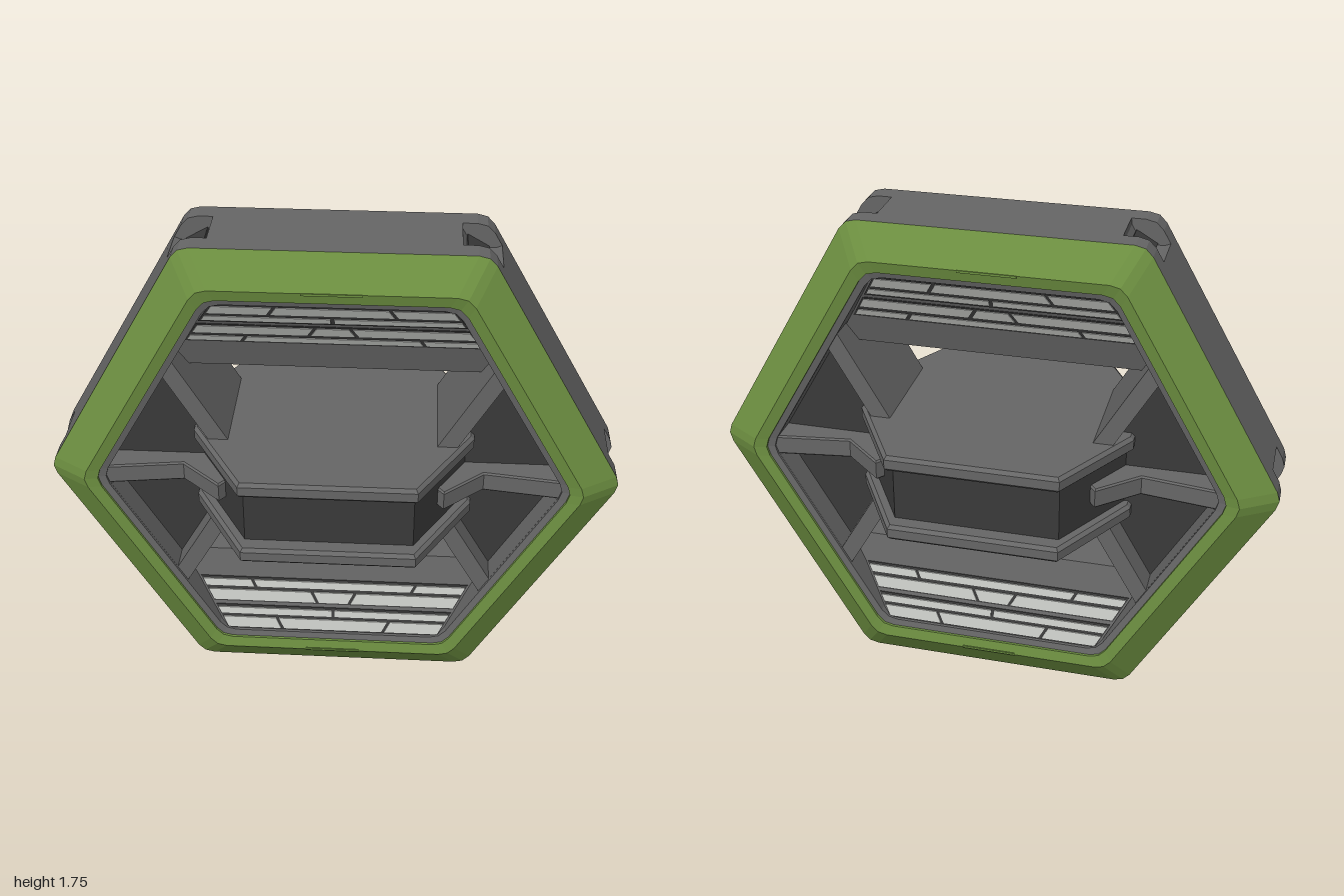
import * as THREE from 'three';

const mat = (name, color, side = THREE.FrontSide) => {
  const m = new THREE.MeshStandardMaterial({ color, side });
  m.name = name;
  return m;
};
const CY = 0.875; // height of the hexagon centre

// Hexagon corner points by apothem; corners are rounded, or notched for the sockets
function hexPoints(apothem, notched = false) {
  const R = apothem * 2 / Math.sqrt(3), pts = [];
  const at = (a, r) => new THREE.Vector2(Math.cos(a) * r, Math.sin(a) * r);
  for (let k = 0; k < 6; k++) {
    const a = k * Math.PI / 3, c = at(a, R), inward = at(a, -1);
    const e1 = at(a - Math.PI * 2 / 3, 1), e2 = at(a + Math.PI * 2 / 3, 1);
    const p = (e, s, depth) => c.clone().addScaledVector(e, s).addScaledVector(inward, depth);
    if (notched) pts.push(p(e1, 0.09, 0), p(e1, 0.075, 0.025), p(e1, 0.05, 0.05),
      p(e2, 0.05, 0.05), p(e2, 0.075, 0.025), p(e2, 0.09, 0));
    else pts.push(p(e1, 0.04, 0), p(inward, 0.01, 0), p(e2, 0.04, 0));
  }
  return pts;
}

// Flat-shaded skin between loops of equal point count
function skin(rings) {
  const v = [], n = rings[0].length;
  for (let r = 0; r < rings.length - 1; r++) {
    for (let i = 0; i < n; i++) {
      const j = (i + 1) % n;
      const [a, b, c, d] = [rings[r][i], rings[r][j], rings[r + 1][j], rings[r + 1][i]];
      for (const p of [a, b, c, a, c, d]) v.push(p.x, p.y, p.z);
    }
  }
  const g = new THREE.BufferGeometry();
  g.setAttribute('position', new THREE.Float32BufferAttribute(v, 3));
  g.computeVertexNormals();
  return g;
}
const hexSkin = (profile) => skin(profile.map(([z, ap]) =>
  hexPoints(ap).map((p) => new THREE.Vector3(p.x, p.y, z))));

// Extruded outline from z0 to z1, with an optional hole
function slab(points, z0, z1, hole, bevel = 0) {
  const toVec = (p) => (p.isVector2 ? p : new THREE.Vector2(p[0], p[1]));
  const s = new THREE.Shape(points.map(toVec));
  if (hole) s.holes.push(new THREE.Path(hole.map(toVec)));
  const g = new THREE.ExtrudeGeometry(s, {
    depth: z1 - z0 - 2 * bevel, bevelEnabled: bevel > 0,
    bevelSize: bevel, bevelThickness: bevel, bevelOffset: -bevel, bevelSegments: 1,
  });
  return g.translate(0, 0, z0 + bevel);
}
const rhombus = (cx, hw) => {
  const hh = hw * Math.sqrt(3);
  return [[cx - hw, 0], [cx, -hh], [cx + hw, 0], [cx, hh]];
};

export function createModel() {
  const grey = mat('metal grey', 0x666666);
  const dark = mat('dark grey', 0x3a3a3a);
  const green = mat('olive green', 0x6c8e40);
  const light = mat('pale panel', 0xc0c2be);
  const model = new THREE.Group();
  const body = new THREE.Group();
  body.name = 'hexBody';
  body.position.y = CY;
  model.add(body);
  const add = (parent, name, geo, material) => {
    const m = new THREE.Mesh(geo, material);
    m.name = name;
    parent.add(m);
    return m;
  };

  // Outer band with socket notches in the corners
  const bore = hexPoints(0.71);
  add(body, 'bandMiddle', slab(hexPoints(CY, true), -0.08, 0.08, bore), grey);
  add(body, 'bandFront', slab(hexPoints(CY), 0.08, 0.155, bore), grey);
  add(body, 'bandBack', slab(hexPoints(CY), -0.155, -0.08, bore), grey);
  for (let k = 0; k < 6; k++) {
    const a = k * Math.PI / 3, r = 1.0104 - 0.073;
    const floor = add(body, 'socketFloor', new THREE.BoxGeometry(0.009, 0.085, 0.158), dark);
    floor.position.set(Math.cos(a) * r, Math.sin(a) * r, 0);
    floor.rotation.z = a;
  }

  for (const turn of [0, Math.PI]) {
    const face = new THREE.Group();
    face.name = turn ? 'backFace' : 'frontFace';
    face.rotation.y = turn;
    body.add(face);

    // Green rim and inner liner
    add(face, 'greenRim', hexSkin([[0.155, 0.875], [0.235, 0.765], [0.226, 0.725], [0.2, 0.725]]), green);
    add(face, 'rimLiner', hexSkin([[0.217, 0.727], [0.21, 0.702], [0, 0.702]]), grey);

    // Sloped light panels, above and below
    for (const flip of [0, Math.PI]) {
      const panels = new THREE.Group();
      panels.name = flip ? 'lowerPanels' : 'upperPanels';
      panels.rotation.z = flip;
      face.add(panels);

      const tab = add(panels, 'rimTab', new THREE.BoxGeometry(0.2, 0.008, 0.006), green);
      tab.position.set(0, 0.762, 0.235);

      const shear = new THREE.Matrix4().set(
        1, 0, 0, 0, 0, 1, 0, 0, 0, 0.432, 1, 0.2 - 0.432 * 0.7, 0, 0, 0, 1);
      const onSlope = (pts, h) => {
        const g = slab(pts, 0, h).applyMatrix4(shear);
        g.computeVertexNormals();
        return g;
      };
      const half = (d) => 0.8 - d / Math.sqrt(3);
      for (const [d0, d1] of [[0.514, 0.602], [0.615, 0.698]]) {
        add(panels, 'panelBacking', onSlope(
          [[-half(d0), d0], [half(d0), d0], [half(d1), d1], [-half(d1), d1]], 0.003), dark);
      }
      const rows = [
        [0.656, 0.692, [-0.2, 0.2]], [0.622, 0.644, [0]],
        [0.558, 0.595, [-0.07, 0.07]], [0.521, 0.545, [-0.3, 0.3]],
      ];
      for (const [d0, d1, seams] of rows) {
        const lean = (x) => -Math.sign(x) * (d1 - d0) * 0.29;
        const lo = [-half(d0) + 0.006, ...seams.map((x) => x - lean(x)), half(d0) - 0.006];
        const hi = [-half(d1) + 0.006, ...seams.map((x) => x + lean(x)), half(d1) - 0.006];
        for (let i = 0; i < lo.length - 1; i++) {
          const l = i ? 0.006 : 0, r = i < seams.length ? 0.006 : 0;
          add(panels, 'lightPanel', onSlope([[lo[i] + l, d0], [lo[i + 1] - r, d0],
            [hi[i + 1] - r, d1], [hi[i] + l, d1]], 0.008), light);
        }
      }
    }
  }

  // Inner wedges carrying the panels
  const section = [[0.2, 0.705], [0.12, 0.515], [0.09, 0.405], [-0.09, 0.405], [-0.12, 0.515], [-0.2, 0.705]];
  for (const flip of [0, Math.PI]) {
    const ends = [-1, 1].map((s) => section.map(([z, d]) =>
      new THREE.Vector3(s * (0.808 - d / Math.sqrt(3)), d, z)));
    add(body, flip ? 'lowerWedge' : 'upperWedge', skin(ends), grey).rotation.z = flip;
  }

  // Side frames, recessed panes and bracket arms
  for (const turn of [0, Math.PI]) {
    const side = new THREE.Group();
    side.name = turn ? 'rightSide' : 'leftSide';
    side.rotation.y = turn;
    body.add(side);
    const opening = rhombus(0.5725, 0.2375);
    add(side, 'sideFrame', slab(rhombus(0.5525, 0.2875), -0.2, 0.2, opening), grey);
    add(side, 'sidePane', slab(rhombus(0.5725, 0.24), -0.1, 0.1), dark);
    const arm = [[0.82, 0.205], [0.53, 0.165], [0.39, 0.29], [0.35, 0.24], [0.44, 0.06], [0.82, 0.06]];
    for (const s of [1, -1]) {
      const g = slab(arm.map(([x, z]) => [x, s * z]), -0.037, 0.037, null, 0.006);
      add(side, 'bracketArm', g.rotateX(Math.PI / 2), grey);
    }
  }

  // Central pod: dark core between two flanges
  const plan = (x0, z0, x1, z1) => [[x0, z0], [-x0, z0], [-x1, z1], [-x1, -z1], [-x0, -z0], [x0, -z0], [x1, -z1], [x1, z1]];
  const core = slab(plan(0.29, 0.4, 0.475, 0.08), -0.13, 0.13);
  add(body, 'podCore', core.rotateX(Math.PI / 2), dark);
  for (const s of [1, -1]) {
    const flange = slab(plan(0.3, 0.46, 0.49, 0.13), -0.029, 0.029, null, 0.012);
    add(body, s > 0 ? 'podTopFlange' : 'podBottomFlange', flange.rotateX(Math.PI / 2), grey).position.y = s * 0.138;
  }
  return model;
}
